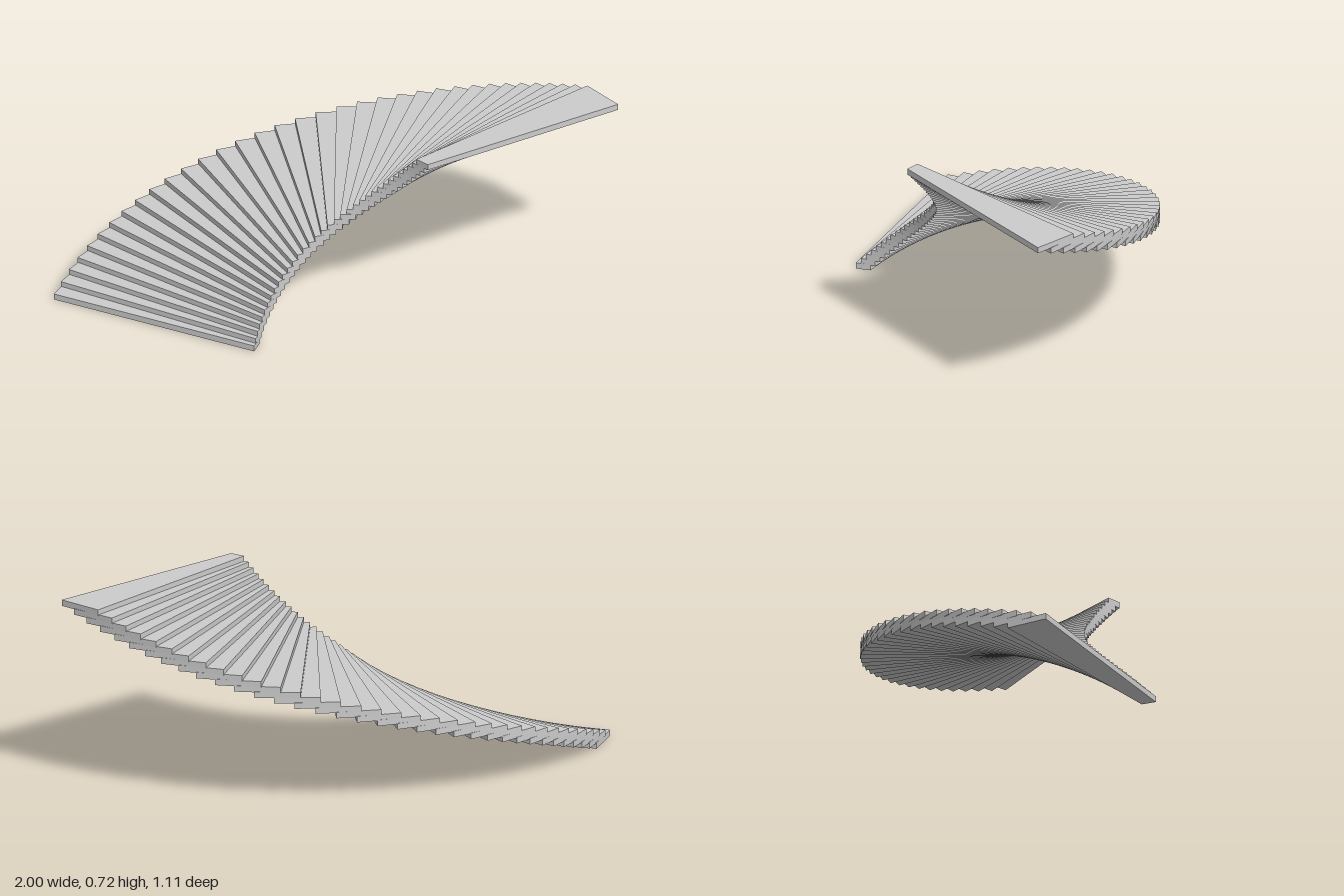
import * as THREE from 'three';

const STEPS = 35;
const RISE = 0.0204;
const THICKNESS = 0.0235;
const OUTER = 1.222;
const INNER = 0.383;
const CENTRE = { x: -0.204, z: 0.666 };

// Plan point on a circle around the stair's axis (shape y = -z)
function planPoint(radius, degrees) {
  const a = THREE.MathUtils.degToRad(degrees);
  return new THREE.Vector2(CENTRE.x + radius * Math.cos(a), -CENTRE.z + radius * Math.sin(a));
}

// Tapered tread: inner end lags the outer end, so the edges are slightly off radial
function treadGeometry(e) {
  const at = (start, end) => THREE.MathUtils.lerp(start, end, e);
  const shape = new THREE.Shape([
    planPoint(OUTER, at(123.1, 10)),
    planPoint(OUTER, at(130.8, 18.5)),
    planPoint(INNER, at(138.9, 26)),
    planPoint(INNER, at(130.4, 17.2)),
  ]);
  const geometry = new THREE.ExtrudeGeometry(shape, { depth: THICKNESS, bevelEnabled: false });
  return geometry.rotateX(-Math.PI / 2);
}

export function createModel() {
  const staircase = new THREE.Group();
  staircase.name = 'curvedStaircase';
  const material = new THREE.MeshStandardMaterial({ color: 0xcccccc, flatShading: true });

  // Overlapping treads climb around the axis, turning a little faster mid-flight
  for (let i = 0; i < STEPS; i++) {
    const u = i / (STEPS - 1);
    const eased = u - (0.11 / (2 * Math.PI)) * Math.sin(2 * Math.PI * u);
    const tread = new THREE.Mesh(treadGeometry(eased), material);
    tread.name = `tread${i + 1}`;
    tread.position.y = i * RISE;
    staircase.add(tread);
  }
  return staircase;
}
